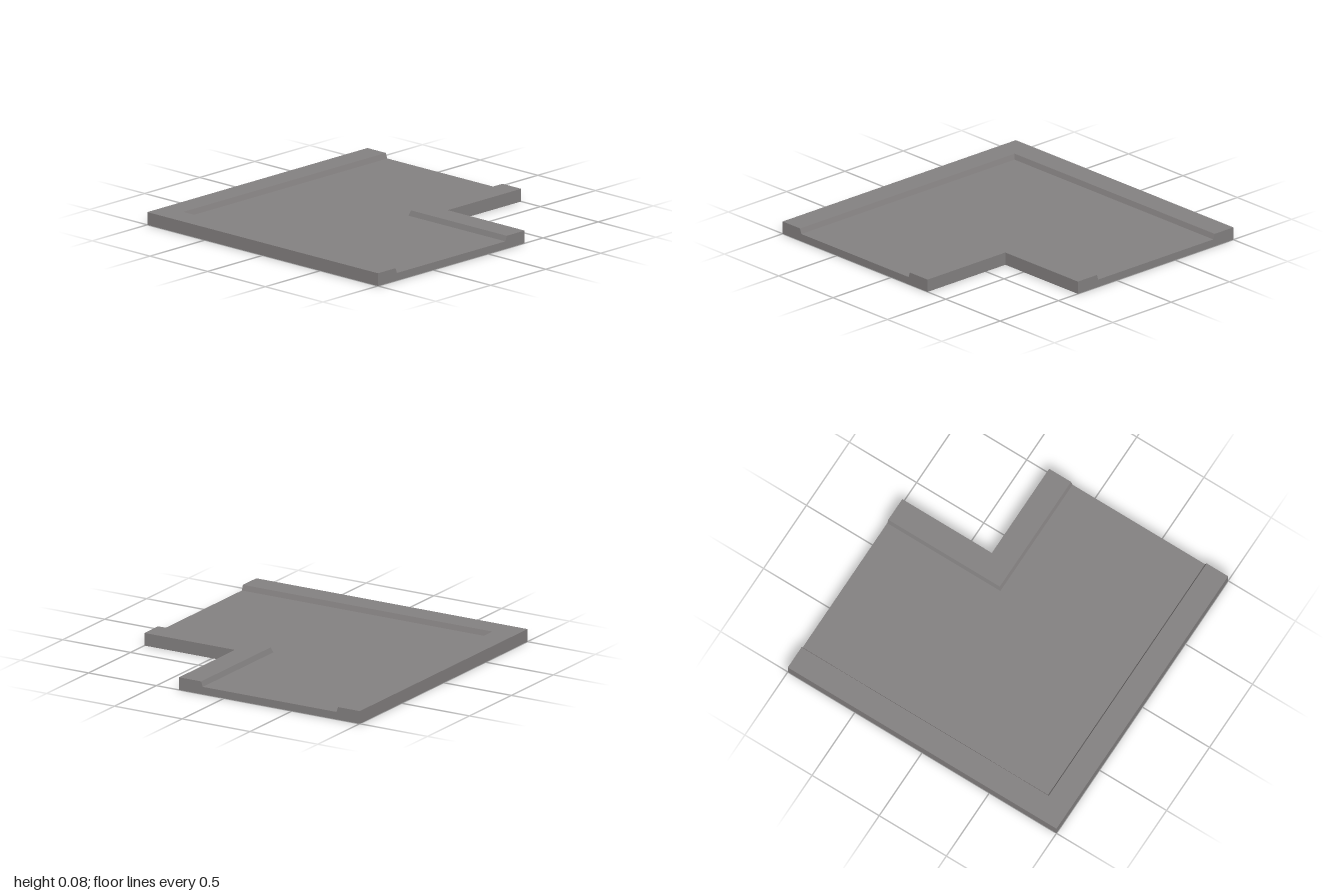
import * as THREE from 'three';

// Cross-section of the corner tile: [offset across the bend, height]
const PROFILE = [
  [-1, 0], [-1, 0.083], [-0.84, 0.083], [-0.828, 0.049],
  [0.158, 0.049], [0.17, 0.083], [0.333, 0.083], [0.333, 0],
];

// Sweep part of the cross-section round the mitred right-angle bend
function sweep(points) {
  const pos = [];
  const rows = [
    ([d, y]) => [1, y, d],
    ([d, y]) => [d, y, d],
    ([d, y]) => [d, y, 1],
  ];
  for (let i = 0; i < points.length - 1; i++) {
    for (let r = 0; r < 2; r++) {
      const a = rows[r](points[i]), b = rows[r + 1](points[i]);
      const c = rows[r + 1](points[i + 1]), d = rows[r](points[i + 1]);
      pos.push(...a, ...b, ...c, ...a, ...c, ...d);
    }
  }
  const geo = new THREE.BufferGeometry();
  geo.setAttribute('position', new THREE.Float32BufferAttribute(pos, 3));
  geo.computeVertexNormals();
  return geo;
}

// Flat end wall in the outline of the cross-section
function endWall(side) {
  return new THREE.ShapeGeometry(
    new THREE.Shape(PROFILE.map(([d, y]) => new THREE.Vector2(d * side, y))));
}

export function createModel() {
  const group = new THREE.Group();
  group.name = 'roadCorner';
  const stone = new THREE.MeshStandardMaterial({ color: 0x848181, side: THREE.DoubleSide });
  stone.name = 'grey stone';

  const add = (name, geo) => {
    const mesh = new THREE.Mesh(geo, stone);
    mesh.name = name;
    group.add(mesh);
  };

  // Hollow shell, open underneath
  add('outerKerb', sweep(PROFILE.slice(0, 4)));
  add('roadSurface', sweep(PROFILE.slice(3, 5)));
  add('innerKerb', sweep(PROFILE.slice(4)));
  add('frontEndWall', endWall(1).translate(0, 0, 1));
  add('leftEndWall', endWall(-1).rotateY(Math.PI / 2).translate(1, 0, 0));
  return group;
}
